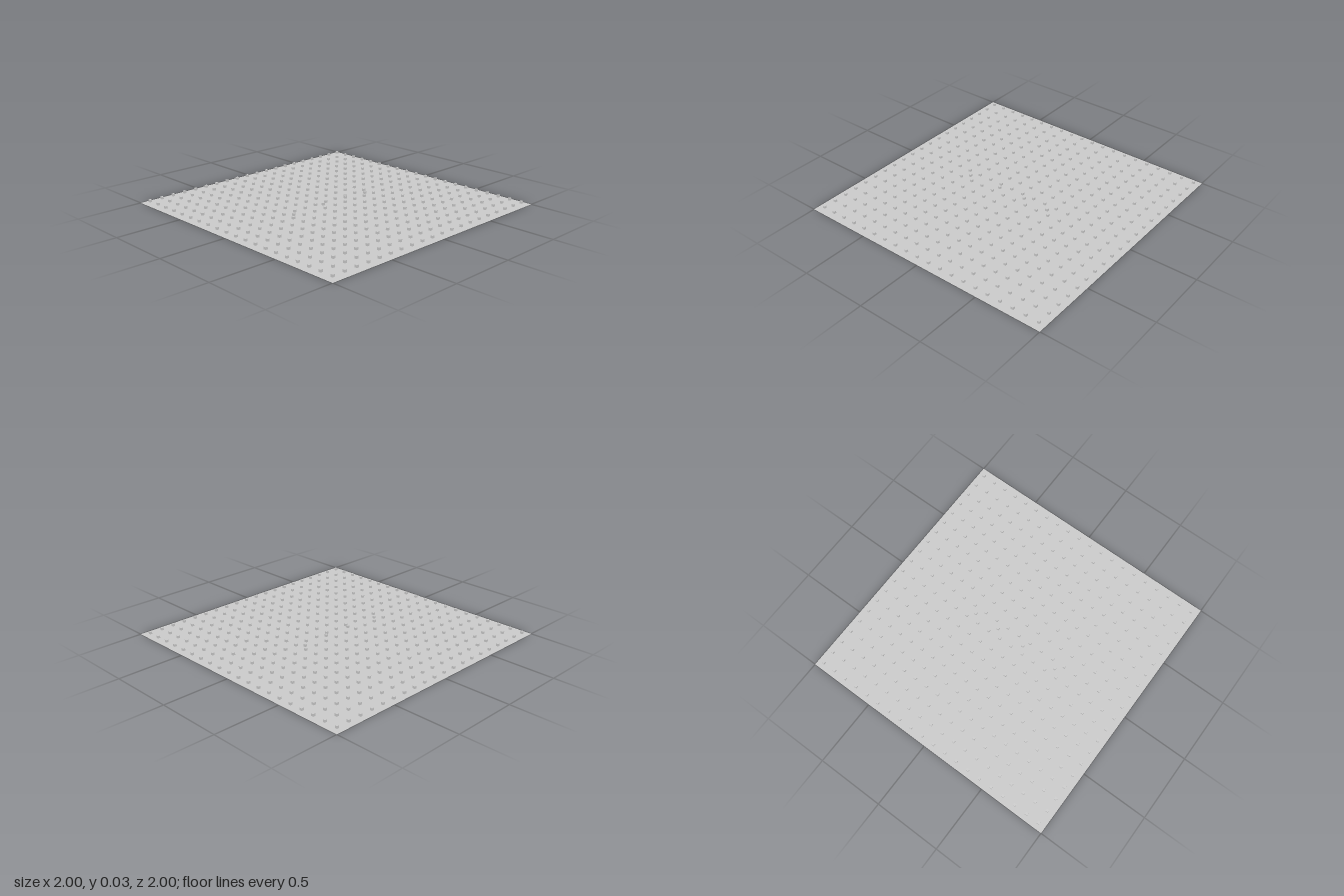
import * as THREE from 'three';
import { mergeGeometries } from 'three/addons/utils/BufferGeometryUtils.js';

const CUBE = 0.018;  // edge of every small block
const PITCH = 0.1;   // spacing of the grid
const COUNT = 20;    // blocks per side

const block = (x, y, z) => new THREE.BoxGeometry(CUBE, CUBE, CUBE).translate(x, y, z);

export function createModel() {
  const group = new THREE.Group();
  const grey = new THREE.MeshStandardMaterial({ color: 0xcccccc, flatShading: true });
  const sheet = grey.clone();
  sheet.side = THREE.DoubleSide;

  const add = (name, geometry, material = grey) => {
    const mesh = new THREE.Mesh(geometry, material);
    mesh.name = name;
    group.add(mesh);
  };

  // Flat square ground sheet
  add('groundSheet', new THREE.PlaneGeometry(2, 2).rotateX(-Math.PI / 2), sheet);

  // Regular grid of blocks hovering just above the sheet, one mesh per row
  for (let row = 0; row < COUNT; row++) {
    const blocks = [];
    for (let col = 0; col < COUNT; col++) {
      blocks.push(block(-0.955 + col * PITCH, 0.015, -0.953 + row * PITCH));
    }
    add(`blockRow${row + 1}`, mergeGeometries(blocks));
  }

  // Loose blocks along the middle line: the inner pair sits higher
  const loose = [[0.015, -0.31], [0.025, -0.105], [0.025, 0.118], [0.015, 0.4]];
  loose.forEach(([y, z], i) => add(`looseBlock${i + 1}`, block(-0.005, y, z)));

  return group;
}
